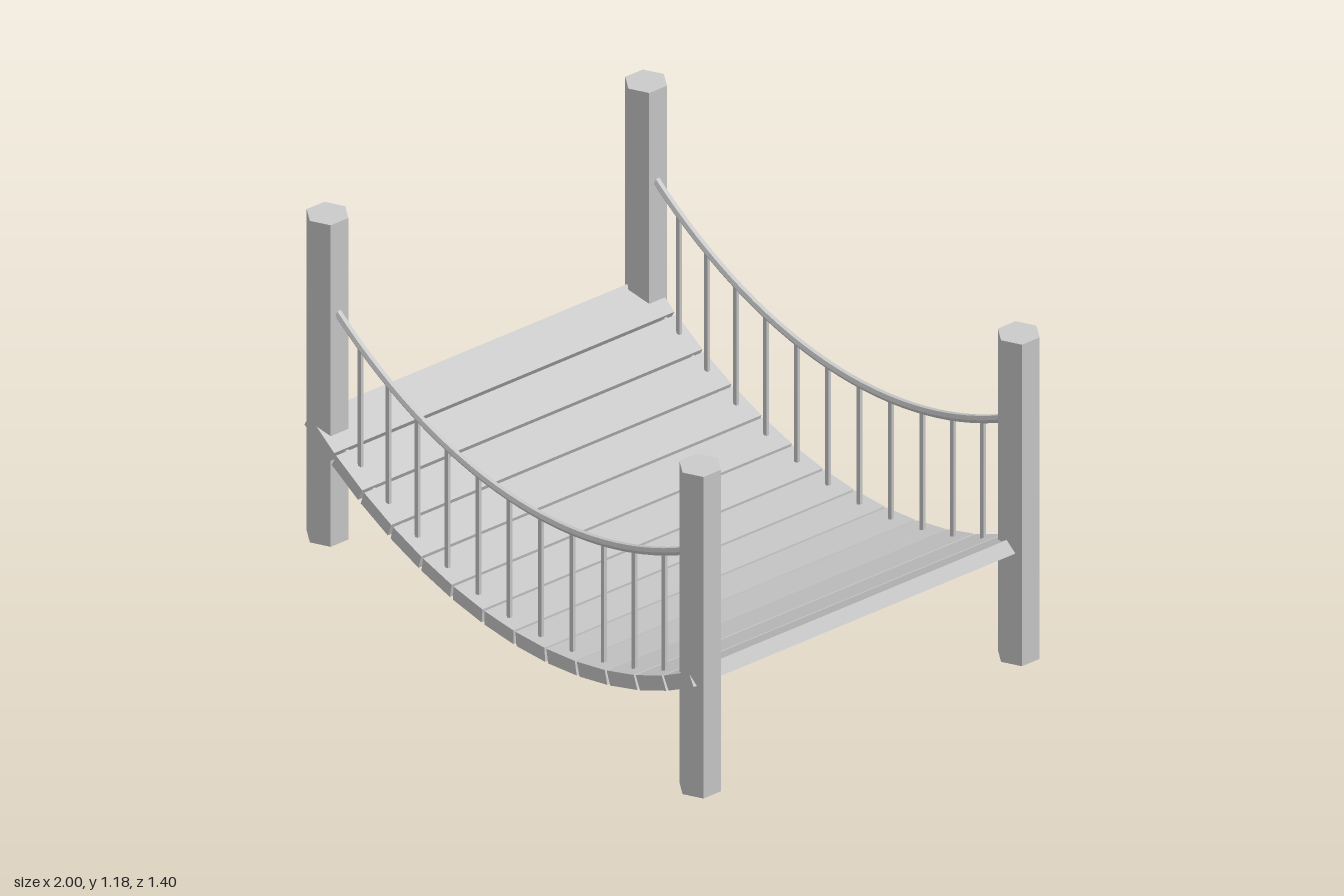
import * as THREE from 'three';

const material = new THREE.MeshStandardMaterial({ color: 0xcccccc, flatShading: true });

// Height of a sagging circular arc, lowest at x = 0
const arcY = (x, low, radius) => low + radius - Math.sqrt(radius * radius - x * x);
const DECK_LOW = 0.145, DECK_R = 1.78;
const deckY = (x) => arcY(x, DECK_LOW, DECK_R);
const railY = (x) => arcY(x, 0.61, 1.8);
// Ropes bow slightly towards the front at mid-span
const ropeZ = (x, side) => side * 0.63 + 0.017 * (1 - (x / 0.94) ** 2);

function add(group, name, geometry, x = 0, y = 0, z = 0) {
  const mesh = new THREE.Mesh(geometry, material);
  mesh.name = name;
  mesh.position.set(x, y, z);
  group.add(mesh);
  return mesh;
}

// Rope hung between two posts
function ropeGeometry(heightAt, side, radius) {
  const points = [];
  for (let i = 0; i <= 16; i++) {
    const x = -0.94 + (1.88 * i) / 16;
    points.push(new THREE.Vector3(x, heightAt(x), ropeZ(x, side)));
  }
  return new THREE.TubeGeometry(new THREE.CatmullRomCurve3(points), 32, radius, 6);
}

export function createModel() {
  const model = new THREE.Group();
  model.name = 'ropeBridge';

  // Hexagonal corner posts
  const postGeometry = new THREE.CylinderGeometry(0.07, 0.07, 1.18, 6);
  for (const x of [-0.94, 0.94]) {
    for (const z of [-0.63, 0.63]) add(model, 'post', postGeometry, x, 0.59, z);
  }

  // Deck planks tilted along the arc
  const deck = new THREE.Group();
  deck.name = 'deck';
  model.add(deck);
  const plankGeometry = new THREE.BoxGeometry(0.146, 0.05, 1.346);
  const plankX = [];
  for (let i = -6; i <= 6; i++) {
    const angle = THREE.MathUtils.degToRad(i * 5.1);
    const x = DECK_R * Math.sin(angle);
    plankX.push(x);
    add(deck, 'plank', plankGeometry, x, deckY(x), 0.016).rotation.z = angle;
  }

  // Handrails, deck ropes and balusters on both sides
  for (const side of [-1, 1]) {
    const railing = new THREE.Group();
    railing.name = side > 0 ? 'frontRailing' : 'backRailing';
    model.add(railing);
    add(railing, 'handrail', ropeGeometry(railY, side, 0.014));
    add(railing, 'deckRope', ropeGeometry(deckY, side, 0.01));
    for (const x of plankX.slice(1, -1)) {
      const bottom = deckY(x), top = railY(x);
      const bar = new THREE.CylinderGeometry(0.01, 0.01, top - bottom, 6);
      add(railing, 'baluster', bar, x, (bottom + top) / 2, ropeZ(x, side));
    }
  }
  return model;
}
